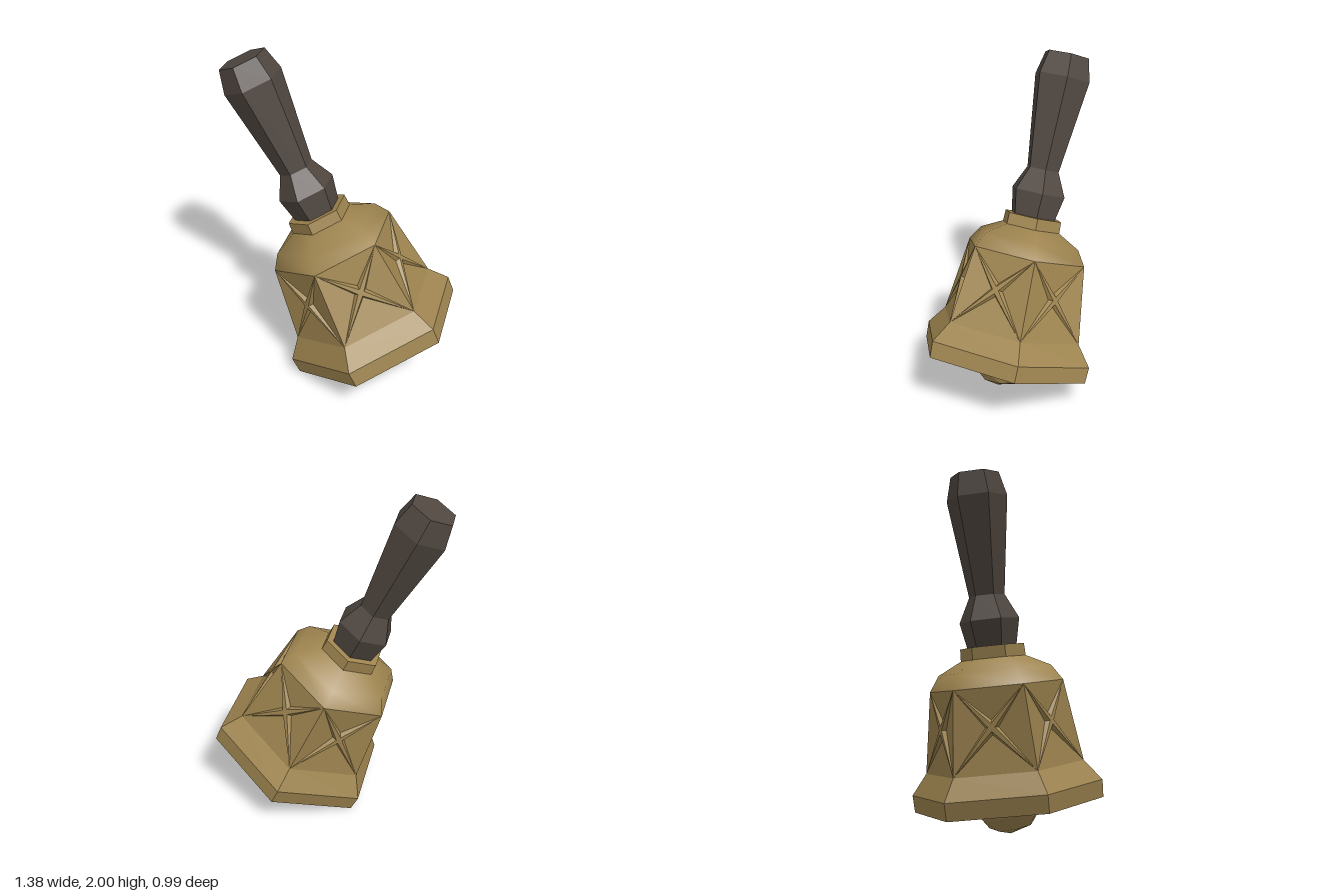
import * as THREE from 'three';

const brass = new THREE.MeshStandardMaterial({ color: 0x9f8550 });
brass.name = 'brass';
const darkWood = new THREE.MeshStandardMaterial({ color: 0x504740 });
darkWood.name = 'dark wood';

const SIDES = 6;
const HIP = { r: 0.46, y: 0.22 };
const SHOULDER = { r: 0.39, y: 0.69 };

// Split vertices so every face gets its own normal
function faceted(geometry) {
  const flat = geometry.index ? geometry.toNonIndexed() : geometry;
  flat.computeVertexNormals();
  return flat;
}

// Six-sided turned shape with a corner on +x; profile is [radius, height]
function hexLathe(profile) {
  const points = profile.map(([r, y]) => new THREE.Vector2(r, y));
  return new THREE.LatheGeometry(points, SIDES, Math.PI / 2);
}

function part(name, geometry, material) {
  const mesh = new THREE.Mesh(geometry, material);
  mesh.name = name;
  return mesh;
}

// Side walls: each has a tapering raised cross between four sunken triangles
function crossPanels() {
  const positions = [];
  const tri = (...corners) => corners.forEach((p) => positions.push(p.x, p.y, p.z));
  const corner = (k, { r, y }) => {
    const a = (k * Math.PI * 2) / SIDES;
    return new THREE.Vector3(r * Math.cos(a), y, r * Math.sin(a));
  };
  for (let k = 0; k < SIDES; k++) {
    const quad = [corner(k + 1, HIP), corner(k, HIP), corner(k, SHOULDER), corner(k + 1, SHOULDER)];
    const a = ((k + 0.5) * Math.PI * 2) / SIDES;
    const inward = new THREE.Vector3(-Math.cos(a), 0, -Math.sin(a));
    // Crossing point of the diagonals
    const middle = quad[0].clone().lerp(quad[2], HIP.r / (HIP.r + SHOULDER.r));
    for (let i = 0; i < 4; i++) {
      const p = quad[i], q = quad[(i + 1) % 4];
      const edgeMid = p.clone().lerp(q, 0.5);
      const rib = middle.clone().lerp(edgeMid, 0.09);
      const sunk = middle.clone().lerp(edgeMid, 0.17).addScaledVector(inward, 0.025);
      tri(p, q, sunk);
      tri(p, sunk, rib);
      tri(sunk, q, rib);
      tri(p, rib, middle);
      tri(rib, q, middle);
    }
  }
  const geometry = new THREE.BufferGeometry();
  geometry.setAttribute('position', new THREE.Float32BufferAttribute(positions, 3));
  return faceted(geometry);
}

export function createModel() {
  const bell = new THREE.Group();
  bell.name = 'handBell';

  // Hollow inside, mouth edge and outer rim band
  const rim = hexLathe([
    [0, 0.74], [0.32, 0.66], [0.41, 0.22], [0.47, 0.1], [0.48, 0],
    [0.55, 0], [0.555, 0.1], [HIP.r, HIP.y],
  ]);
  bell.add(part('rimAndInside', faceted(rim), brass));
  bell.add(part('crossPanels', crossPanels(), brass));

  // Softly shaded shoulder
  const shoulder = hexLathe([[SHOULDER.r, SHOULDER.y], [0.33, 0.78], [0.18, 0.855]]);
  bell.add(part('shoulder', shoulder, brass));

  const collar = hexLathe([[0, 0.85], [0.19, 0.85], [0.187, 0.92], [0, 0.92]]);
  bell.add(part('collar', faceted(collar), brass));

  // Handle with a bulb at the foot and a wider grip end
  const handle = hexLathe([
    [0, 0.91], [0.143, 0.915], [0.175, 1.07], [0.104, 1.213],
    [0.178, 1.78], [0.142, 1.92], [0, 1.92],
  ]);
  bell.add(part('handle', faceted(handle), darkWood));

  // Clapper
  const ball = part('clapperBall', faceted(new THREE.IcosahedronGeometry(0.205, 1)), brass);
  ball.position.y = 0.04;
  const rod = part('clapperRod', faceted(new THREE.CylinderGeometry(0.025, 0.025, 0.52, SIDES)), brass);
  rod.position.y = 0.47;
  bell.add(ball, rod);

  // Lean the bell so that it rests on one edge of its mouth
  const axis = new THREE.Vector3(-0.388, 0.906, 0.168).normalize();
  const side = new THREE.Vector3(0.921, 0.387, 0.064);
  side.addScaledVector(axis, -side.dot(axis)).normalize();
  const depth = new THREE.Vector3().crossVectors(side, axis);
  bell.quaternion.setFromRotationMatrix(new THREE.Matrix4().makeBasis(side, axis, depth));
  bell.position.set(0.19, 0.21, -0.015);

  const model = new THREE.Group();
  model.name = 'leaningHandBell';
  model.add(bell);
  return model;
}
